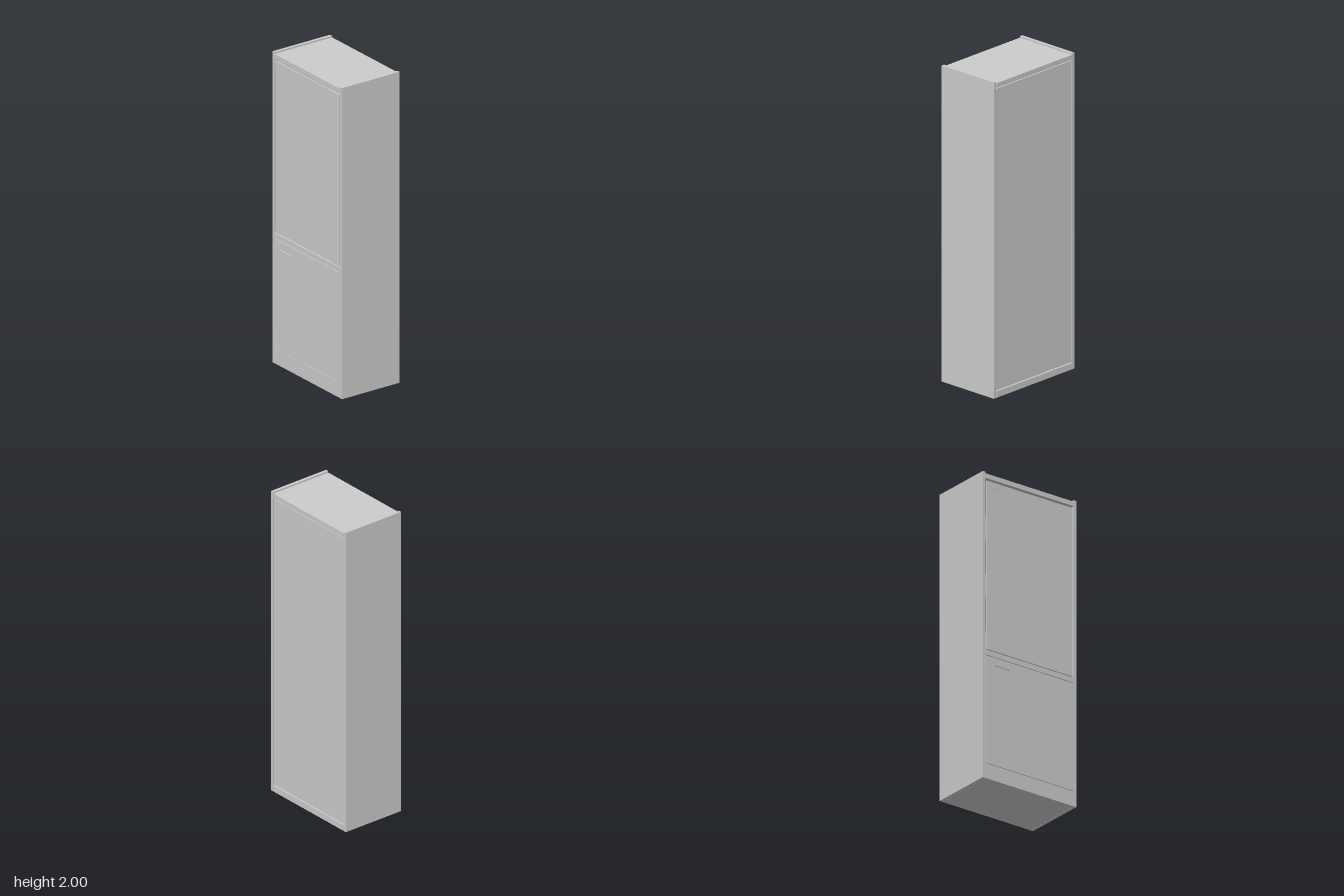
import * as THREE from 'three';

export function createModel() {
  const group = new THREE.Group();
  const material = new THREE.MeshStandardMaterial({ color: 0xcccccc });

  // Box given by its lower and upper limits on each axis
  function panel(name, [x0, x1], [y0, y1], [z0, z1]) {
    const mesh = new THREE.Mesh(new THREE.BoxGeometry(x1 - x0, y1 - y0, z1 - z0), material);
    mesh.position.set((x0 + x1) / 2, (y0 + y1) / 2, (z0 + z1) / 2);
    mesh.name = name;
    group.add(mesh);
  }

  const back = -0.217, front = 0.206;
  const inner = [-0.327, 0.327];

  // Carcass
  panel('leftSide', [0.328, 0.348], [0, 2], [back, front]);
  panel('rightSide', [-0.348, -0.328], [0, 2], [back, front]);
  panel('topBoard', inner, [1.96, 1.99], [back, front]);
  panel('middleBoard', inner, [0.807, 0.84], [back + 0.015, front]);
  panel('bottomBoard', inner, [0, 0.04], [back, front - 0.02]);
  panel('backPanel', inner, [0.045, 1.953], [back + 0.004, back + 0.014]);
  panel('plinth', inner, [0, 0.098], [front - 0.02, front - 0.001]);

  // Inside shelves
  for (const y of [0.45, 1.2, 1.57]) {
    panel('shelf', inner, [y, y + 0.02], [back + 0.015, front - 0.03]);
  }

  // Doors
  panel('upperDoor', [-0.317, 0.317], [0.846, 1.946], [front - 0.011, front - 0.002]);
  panel('lowerDoor', [-0.325, 0.325], [0.101, 0.803], [front - 0.02, front]);

  // Flat corner fittings on the upper door
  for (const s of [-1, 1]) {
    for (const y of [0.846, 1.901]) {
      const xs = [s * 0.317, s * 0.224].sort((a, b) => a - b);
      panel('cornerFitting', xs, [y, y + 0.045], [front - 0.012, front - 0.001]);
    }
  }

  // Bow handle on the lower door
  const path = new THREE.CurvePath();
  const p = (x, z) => new THREE.Vector3(x, 0.75, z);
  const z = 0.2135;
  path.add(new THREE.LineCurve3(p(-0.2665, front - 0.001), p(-0.2655, 0.210)));
  path.add(new THREE.QuadraticBezierCurve3(p(-0.2655, 0.210), p(-0.2645, z), p(-0.260, z)));
  path.add(new THREE.LineCurve3(p(-0.260, z), p(-0.167, z)));
  path.add(new THREE.QuadraticBezierCurve3(p(-0.167, z), p(-0.1625, z), p(-0.1615, 0.210)));
  path.add(new THREE.LineCurve3(p(-0.1615, 0.210), p(-0.1605, front - 0.001)));
  const handle = new THREE.Mesh(new THREE.TubeGeometry(path, 80, 0.0035, 12), material);
  handle.name = 'handle';
  group.add(handle);

  return group;
}
